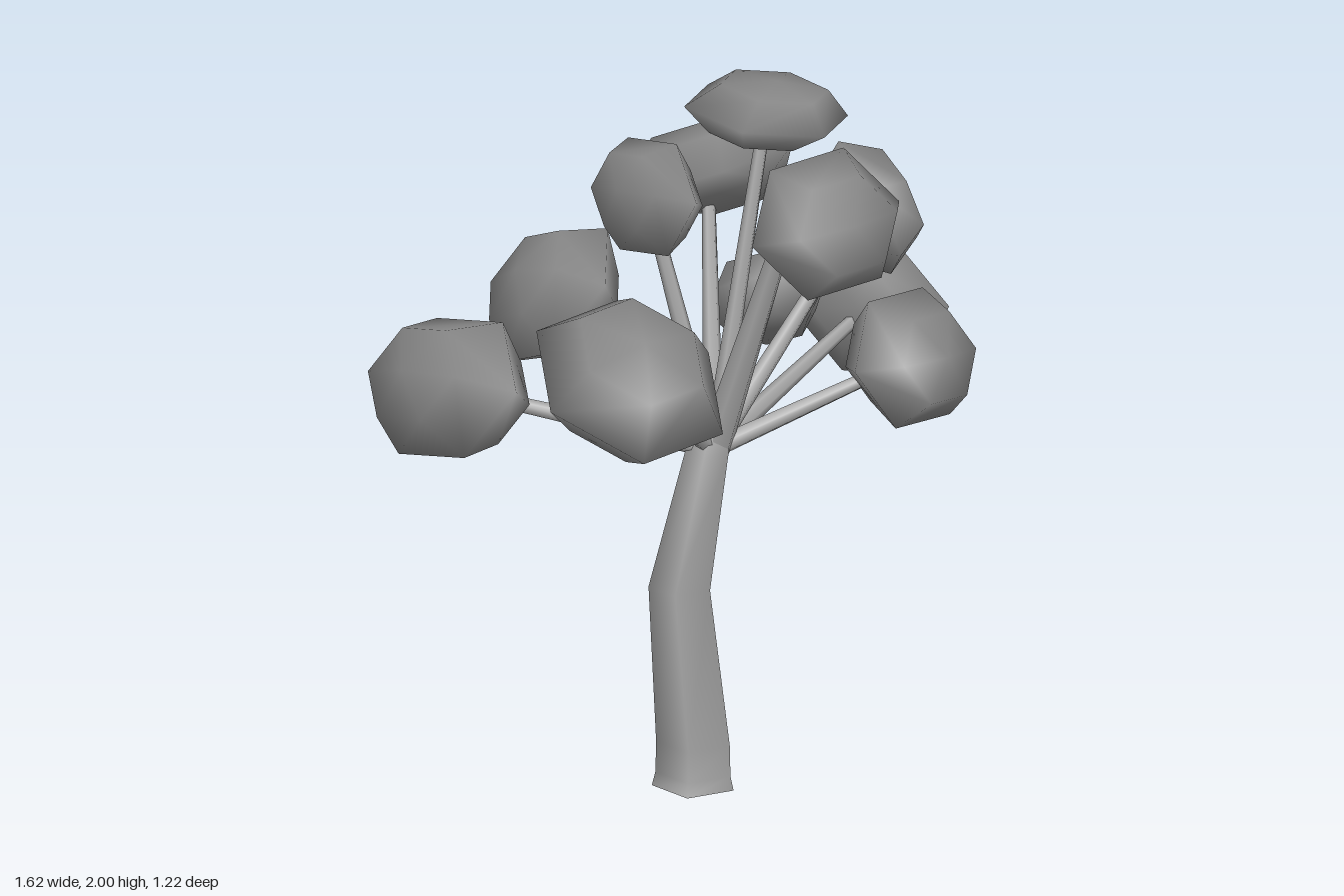
import * as THREE from 'three';
import { toCreasedNormals } from 'three/addons/utils/BufferGeometryUtils.js';

// Closed loft through horizontal rings [x, y, z, radius], listed from bottom to top
function loft(rings, sides, phase = 0, bulge = 0) {
  const pos = [], index = [];
  for (const [x, y, z, r] of rings) {
    for (let j = 0; j < sides; j++) {
      const a = phase + (j / sides) * Math.PI * 2;
      pos.push(x + r * Math.cos(a), y, z + r * Math.sin(a));
    }
  }
  const [bx, by, bz] = rings[0], [tx, ty, tz] = rings[rings.length - 1];
  const bottom = pos.length / 3, top = bottom + 1;
  pos.push(bx, by, bz, tx, ty + bulge, tz);
  const end = (rings.length - 1) * sides;
  for (let j = 0; j < sides; j++) {
    const n = (j + 1) % sides;
    for (let k = 0; k < end; k += sides) {
      index.push(k + j, k + sides + j, k + n, k + n, k + sides + j, k + sides + n);
    }
    index.push(bottom, j, n, top, end + n, end + j);
  }
  const g = new THREE.BufferGeometry();
  g.setAttribute('position', new THREE.Float32BufferAttribute(pos, 3));
  g.setIndex(index);
  return g;
}

// Chunky six-sided leaf clump facing along normal, fitted to a centre and size
function clump(centre, size, normal, phase) {
  const g = loft([[0, -0.45, 0, 0.6], [0, 0, 0, 1], [0, 0.45, 0, 0.66]], 6, phase, 0.12);
  const dir = new THREE.Vector3(...normal).normalize();
  g.applyQuaternion(new THREE.Quaternion().setFromUnitVectors(new THREE.Vector3(0, 1, 0), dir));
  g.computeBoundingBox();
  const mid = g.boundingBox.getCenter(new THREE.Vector3());
  const ext = g.boundingBox.getSize(new THREE.Vector3());
  g.translate(-mid.x, -mid.y, -mid.z);
  g.scale(size[0] / ext.x, size[1] / ext.y, size[2] / ext.z);
  g.translate(...centre);
  g.computeVertexNormals();
  return g;
}

// Tapered straight branch between two points
function branch(from, to, r0, r1) {
  const a = new THREE.Vector3(...from), b = new THREE.Vector3(...to);
  const d = b.clone().sub(a);
  const g = new THREE.CylinderGeometry(r1, r0, d.length(), 6);
  g.applyQuaternion(new THREE.Quaternion().setFromUnitVectors(new THREE.Vector3(0, 1, 0), d.normalize()));
  const m = a.add(b).multiplyScalar(0.5);
  g.translate(m.x, m.y, m.z);
  return g;
}

export function createModel() {
  const bark = new THREE.MeshStandardMaterial({ color: 0xa6a6a6 });
  bark.name = 'bark';
  const leaf = new THREE.MeshStandardMaterial({ color: 0x868686 });
  leaf.name = 'leaf';

  const tree = new THREE.Group();
  tree.name = 'tree';
  const add = (parent, name, geometry, material) => {
    const mesh = new THREE.Mesh(geometry, material);
    mesh.name = name;
    parent.add(mesh);
  };

  // Bent five-sided trunk with a flared foot
  const trunk = loft([
    [-0.09, 0, 0.14, 0.121],
    [-0.09, 0.04, 0.14, 0.111],
    [-0.09, 0.13, 0.14, 0.109],
    [-0.139, 0.6, 0.135, 0.091],
    [-0.064, 0.99, 0.165, 0.064],
    [-0.05, 1.05, 0.175, 0.045],
  ], 5);
  add(tree, 'trunk', toCreasedNormals(trunk, 1.4), bark);

  // Leaf clumps: centre, size, facing, turn, and an optional branch end and thickness
  const clumps = [
    { c: [-0.615, 1.19, -0.295], s: [0.39, 0.38, 0.63], n: [-0.7, 0.45, -0.35], t: 0.5 },
    { c: [-0.2, 1.35, -0.31], s: [0.355, 0.37, 0.48], n: [-0.6, 0.55, -0.4], t: 0.5 },
    { c: [-0.105, 1.695, -0.035], s: [0.23, 0.33, 0.45], n: [-0.85, 0.3, -0.25], t: 0.5 },
    { c: [0.245, 1.65, -0.16], s: [0.45, 0.3, 0.38], n: [0.4, 0.4, -0.7], t: 0 },
    { c: [0.39, 1.25, -0.08], s: [0.27, 0.3, 0.35], n: [0.35, 0.7, -0.5], t: 0.2 },
    { c: [0.69, 1.175, 0.02], s: [0.235, 0.38, 0.51], n: [0.92, -0.25, -0.28], t: 0.5 },
    { c: [0.205, 1.91, 0.115], s: [0.41, 0.18, 0.47], n: [0.22, 0.97, 0.08], t: 0.52 },
    { c: [0.49, 1.575, 0.215], s: [0.34, 0.39, 0.41], n: [0.85, 0.25, 0.3], t: 0.5 },
    { c: [0.44, 1.205, 0.445], s: [0.46, 0.35, 0.33], n: [0.12, 0.3, 0.9], t: 0 },
    { c: [0.135, 1.68, 0.43], s: [0.49, 0.36, 0.34], n: [-0.15, 0.3, 0.9], t: 0.1, end: [0, 1.6, 0.37], r: 0.05 },
    { c: [-0.455, 1.325, 0.26], s: [0.53, 0.41, 0.5], n: [-0.12, 0.7, 0.4], t: 0.1 },
  ];
  const branches = new THREE.Group();
  branches.name = 'branches';
  const foliage = new THREE.Group();
  foliage.name = 'foliage';
  tree.add(branches, foliage);
  for (const { c, s, n, t, end = c, r = 0.03 } of clumps) {
    add(branches, 'branch', branch([-0.045, 0.99, 0.168], end, r, r * 0.6), bark);
    add(foliage, 'leafClump', clump(c, s, n, t), leaf);
  }
  return tree;
}
